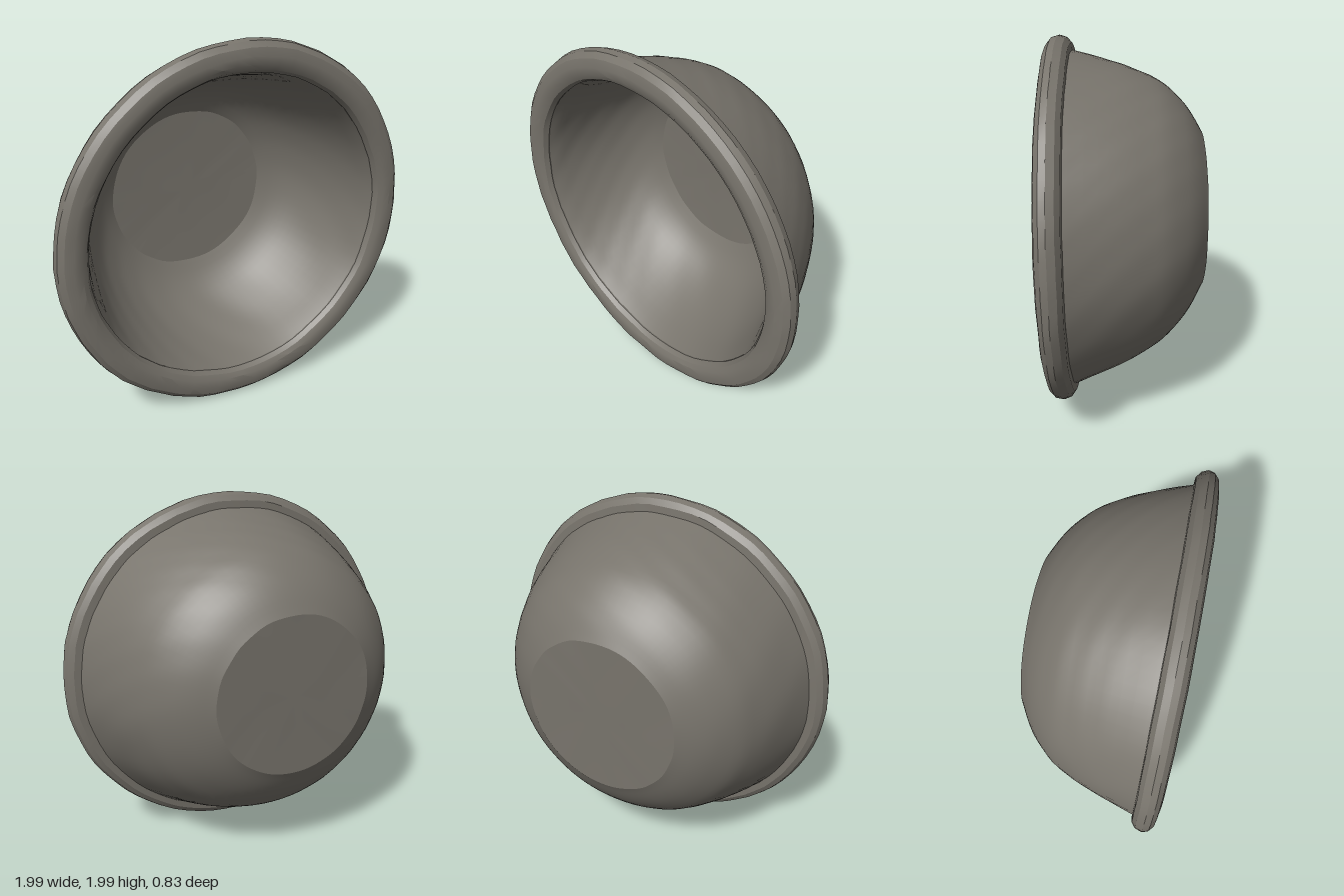
import * as THREE from 'three';
import { mergeVertices, toCreasedNormals } from 'three/addons/utils/BufferGeometryUtils.js';

const V = (r, z) => new THREE.Vector2(r, z);
const smooth = (pts, n) => new THREE.SplineCurve(pts.map(p => V(...p))).getPoints(n);

// Cheap repeatable bumpiness, a function of position so that seams stay closed
function bump(x, y, z) {
  return (Math.sin(7 * x + 3 * y + 5 * z) + Math.sin(11 * y - 6 * x + 9 * z + 1.3)
    + Math.sin(17 * x + 13 * y - 8 * z + 2.1) + Math.sin(29 * y - 23 * x + 31 * z)) / 4;
}

// Lathe a (radius, depth) profile about z, then make it lopsided and hand-formed
function handTurned(profile, segments, rough, crease) {
  let geo = new THREE.LatheGeometry(profile, segments);
  geo.rotateX(Math.PI / 2);
  geo.deleteAttribute('uv');
  geo.deleteAttribute('normal');
  geo = mergeVertices(geo, 1e-4);
  const p = geo.attributes.position;
  for (let i = 0; i < p.count; i++) {
    const x = p.getX(i), y = p.getY(i), z = p.getZ(i);
    const r = Math.hypot(x, y) || 1;
    const back = THREE.MathUtils.clamp((0.3 - z) / 0.7, 0, 1); // 0 at rim, 1 at foot
    const b = rough * bump(x, y, z);
    p.setXYZ(i,
      x + (x / r) * b - 0.025 * back,
      y + (y / r) * b + 1.003 + 0.045 * back,
      z + b * 0.4 + 0.012 * (x + y) * (1 - back));
  }
  return toCreasedNormals(geo, crease);
}

export function createModel() {
  const group = new THREE.Group();
  const clay = new THREE.MeshStandardMaterial({ color: 0x78746c });
  clay.name = 'greyClay';

  // Bowl wall: flat foot, curved outside, steep inside, flat floor
  const outside = smooth([[0.437, -0.413], [0.46, -0.4], [0.54, -0.355], [0.62, -0.295],
    [0.71, -0.2], [0.768, -0.1], [0.815, 0], [0.86, 0.12], [0.92, 0.3]], 24);
  const inside = smooth([[0.845, 0.375], [0.815, 0.3], [0.785, 0.2], [0.74, 0.07],
    [0.685, -0.05], [0.625, -0.14], [0.55, -0.21], [0.465, -0.26]], 20);
  const wall = [V(0, -0.413), V(0.15, -0.413), V(0.3, -0.413), ...outside,
    ...inside, V(0.3, -0.268), V(0.15, -0.27), V(0, -0.27)];
  const bowl = new THREE.Mesh(handTurned(wall, 80, 0.005, 0.4), clay);
  bowl.name = 'bowl';

  // Thick rolled rim, its inner side flowing into the wall
  const rimProfile = [[0.9, 0.272], [0.95, 0.276], [0.98, 0.298], [0.994, 0.335], [0.986, 0.368],
    [0.958, 0.392], [0.915, 0.402], [0.875, 0.397], [0.848, 0.382], [0.832, 0.355],
    [0.84, 0.295], [0.9, 0.272]].map(p => V(...p));
  const rim = new THREE.Mesh(handTurned(rimProfile, 72, 0.006, 0.4), clay);
  rim.name = 'rim';

  group.add(bowl, rim);
  return group;
}
